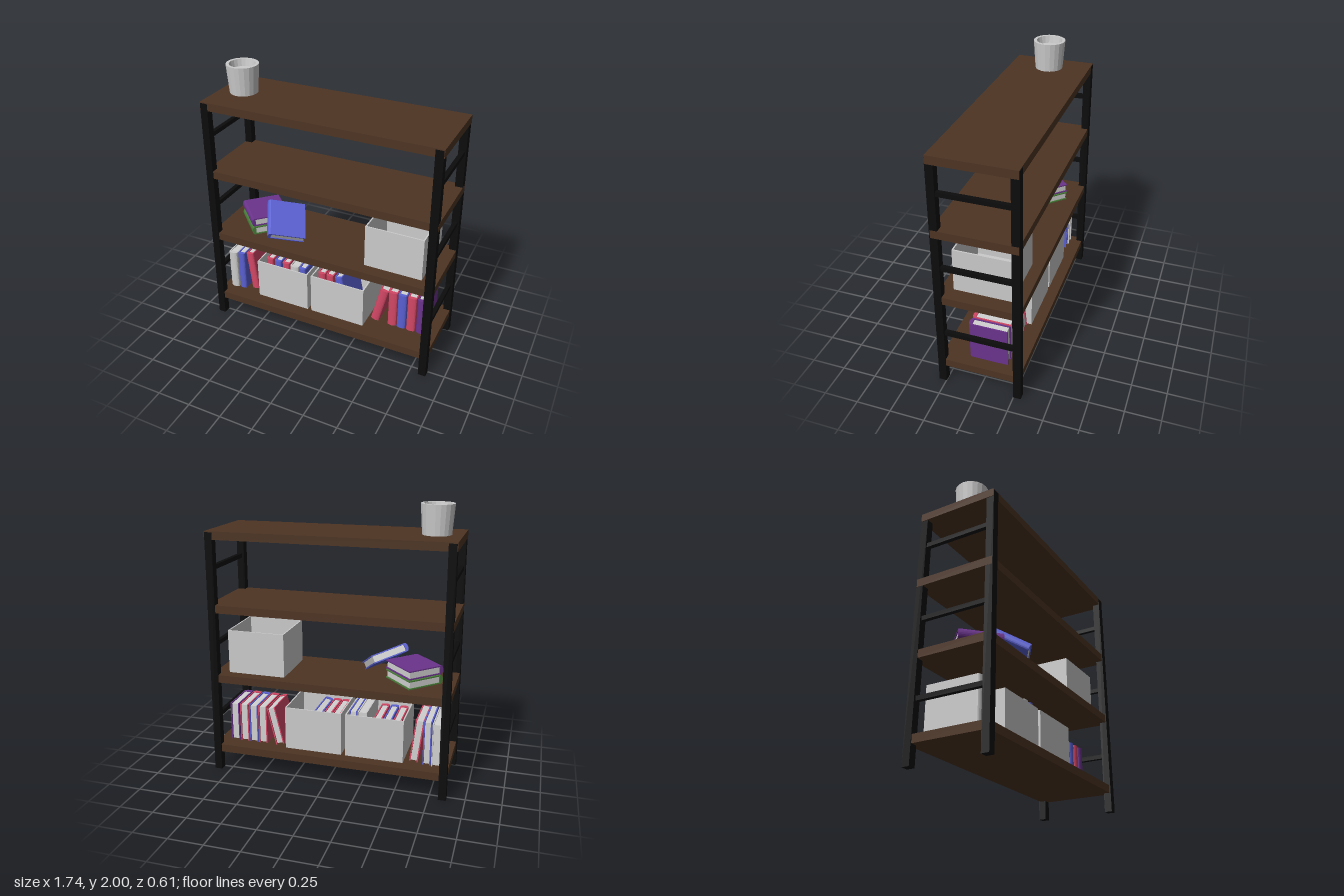
import * as THREE from 'three';

const mat = (name, color) => {
  const m = new THREE.MeshStandardMaterial({ color });
  m.name = name;
  return m;
};

export function createModel() {
  const root = new THREE.Group();
  root.name = 'bookshelf';

  const wood = mat('dark wood', 0x4d3423);
  const metal = mat('black metal', 0x0c0c0c);
  const grey = mat('pale grey', 0xcbcbcb);
  const paper = mat('paper', 0xd2d2d2);
  const red = mat('red cover', 0xd24765);
  const blue = mat('blue cover', 0x5a60d2);
  const purple = mat('purple cover', 0x6b338c);
  const green = mat('green cover', 0x4a7f3a);

  const add = (parent, name, geometry, material, x = 0, y = 0, z = 0) => {
    const mesh = new THREE.Mesh(geometry, material);
    mesh.name = name;
    mesh.position.set(x, y, z);
    parent.add(mesh);
    return mesh;
  };

  // Shelf boards, given by the height of their upper face
  const LOW = 0.197, MID = 0.75;
  for (const top of [LOW, MID, 1.272, 1.793]) {
    add(root, 'shelfBoard', new THREE.BoxGeometry(1.732, 0.058, 0.582), wood, 0, top - 0.029, 0);
  }

  // Legs lean slightly inward; rungs join each front and back pair
  for (const sx of [-1, 1]) {
    for (const sz of [-1, 1]) {
      const g = new THREE.BoxGeometry(0.055, 1.786, 0.055);
      g.translate(sx * 0.8445, 0.893, sz * 0.2755);
      const p = g.attributes.position;
      for (let i = 0; i < p.count; i++) {
        if (p.getY(i) > 1) p.setXYZ(i, p.getX(i) - sx * 0.01, p.getY(i), p.getZ(i) - sz * 0.01);
      }
      g.computeVertexNormals();
      add(root, 'leg', g, metal);
    }
    for (const y of [0.427, 0.976, 1.532]) {
      add(root, 'sideRung', new THREE.BoxGeometry(0.03, 0.032, 0.5), metal, sx * 0.84, y, 0);
    }
  }

  // Flower pot: faceted, hollow, with a recessed inner floor
  const potProfile = [
    [0, 0], [0.1, 0], [0.115, 0.205], [0.093, 0.205], [0.084, 0.155], [0, 0.155],
  ].map(([x, y]) => new THREE.Vector2(x, y));
  const potGeometry = new THREE.LatheGeometry(potProfile, 20).toNonIndexed();
  potGeometry.computeVertexNormals();
  add(root, 'pot', potGeometry, grey, -0.69, 1.795, 0);

  // Open storage bins
  const binShape = new THREE.Shape();
  const rect = (path, w, d) => path.moveTo(-w, -d).lineTo(w, -d).lineTo(w, d).lineTo(-w, d).closePath();
  rect(binShape, 0.2125, 0.205);
  const hole = new THREE.Path();
  rect(hole, 0.2025, 0.195);
  binShape.holes.push(hole);
  const binWalls = new THREE.ExtrudeGeometry(binShape, { depth: 0.32, bevelEnabled: false });
  binWalls.rotateX(-Math.PI / 2);
  for (const [x, y] of [[-0.3325, LOW], [0.1225, LOW], [0.5475, MID]]) {
    const bin = new THREE.Group();
    bin.name = 'storageBin';
    bin.position.set(x, y, -0.003);
    add(bin, 'binWalls', binWalls, grey);
    add(bin, 'binFloor', new THREE.BoxGeometry(0.41, 0.01, 0.395), grey, 0, 0.006, 0);
    root.add(bin);
  }

  // Book: wrapped cover with a rounded spine at +z, thickness along x, height along y
  function book(cover, t, h, w, center, thickDir, spineDir) {
    const group = new THREE.Group();
    group.name = 'book';
    const c = 0.009, a = t / 2, b = a - c, round = 0.018;
    const s = new THREE.Shape();
    s.moveTo(a, w / 2);
    s.lineTo(b, w / 2);
    s.lineTo(b, -w / 2 + round + c);
    s.lineTo(-b, -w / 2 + round + c);
    s.lineTo(-b, w / 2);
    s.lineTo(-a, w / 2);
    s.lineTo(-a, -w / 2 + round);
    s.bezierCurveTo(-a, -w / 2 - 0.006, a, -w / 2 - 0.006, a, -w / 2 + round);
    s.closePath();
    const g = new THREE.ExtrudeGeometry(s, { depth: h, bevelEnabled: false, curveSegments: 8 });
    g.rotateX(-Math.PI / 2);
    g.translate(0, -h / 2, 0);
    add(group, 'bookCover', g, cover);
    add(group, 'bookPages', new THREE.BoxGeometry(2 * b, h - 0.014, w - 0.035), paper, 0, 0, -0.008);

    const X = new THREE.Vector3(...thickDir).normalize();
    const Z = new THREE.Vector3(...spineDir).normalize();
    const Y = new THREE.Vector3().crossVectors(Z, X);
    group.setRotationFromMatrix(new THREE.Matrix4().makeBasis(X, Y, Z));
    group.position.set(...center);
    root.add(group);
  }

  // Standing book; a positive lean tips the top toward +x
  function standing(cover, x, t, h, front, back, lean = 0, base = LOW) {
    const c = Math.cos(lean), s = Math.sin(lean);
    const y = base + (h / 2) * c + (t / 2) * Math.abs(s);
    book(cover, t, h, front - back, [x, y, (front + back) / 2], [c, -s, 0], [0, 0, 1]);
  }

  // Lower shelf, left end
  standing(grey, -0.78, 0.07, 0.32, 0.19, -0.2);
  standing(blue, -0.711, 0.058, 0.325, 0.18, -0.19);
  standing(red, -0.634, 0.062, 0.32, 0.15, -0.17, -0.12);

  // Lower shelf, right end
  standing(red, 0.424, 0.066, 0.292, 0.105, -0.18, 0.235);
  [[red, 0.525], [blue, 0.597], [red, 0.671], [purple, 0.746]].forEach(([m, x]) =>
    standing(m, x, 0.068, 0.295, 0.105, -0.18));

  // Books inside the two lower bins
  const inBin = LOW + 0.012;
  standing(red, -0.49, 0.06, 0.29, 0.12, -0.17, 0, inBin);
  standing(blue, -0.42, 0.06, 0.29, 0.12, -0.17, 0, inBin);
  standing(red, -0.35, 0.06, 0.29, 0.12, -0.17, 0, inBin);
  standing(grey, -0.242, 0.07, 0.333, 0.185, -0.19, 0, inBin);
  standing(blue, -0.175, 0.058, 0.333, 0.185, -0.19, 0, inBin);
  standing(red, -0.045, 0.06, 0.29, 0.12, -0.17, 0, inBin);
  standing(red, 0.022, 0.06, 0.29, 0.12, -0.17, 0, inBin);
  standing(blue, 0.12, 0.06, 0.29, 0.12, -0.17, -0.2, inBin);

  // Middle shelf: flat stack turned sideways, with one book sliding off it
  book(green, 0.064, 0.295, 0.285, [-0.57, MID + 0.033, 0], [0, 1, 0], [-1, 0, 1]);
  book(purple, 0.064, 0.295, 0.285, [-0.57, MID + 0.104, 0], [0, 1, 0], [-1, 0, 1]);
  book(blue, 0.062, 0.295, 0.28, [-0.339, 0.877, 0.099], [0.46, 0.85, 0.257], [-0.2, 0.065, 0.143]);

  return root;
}
